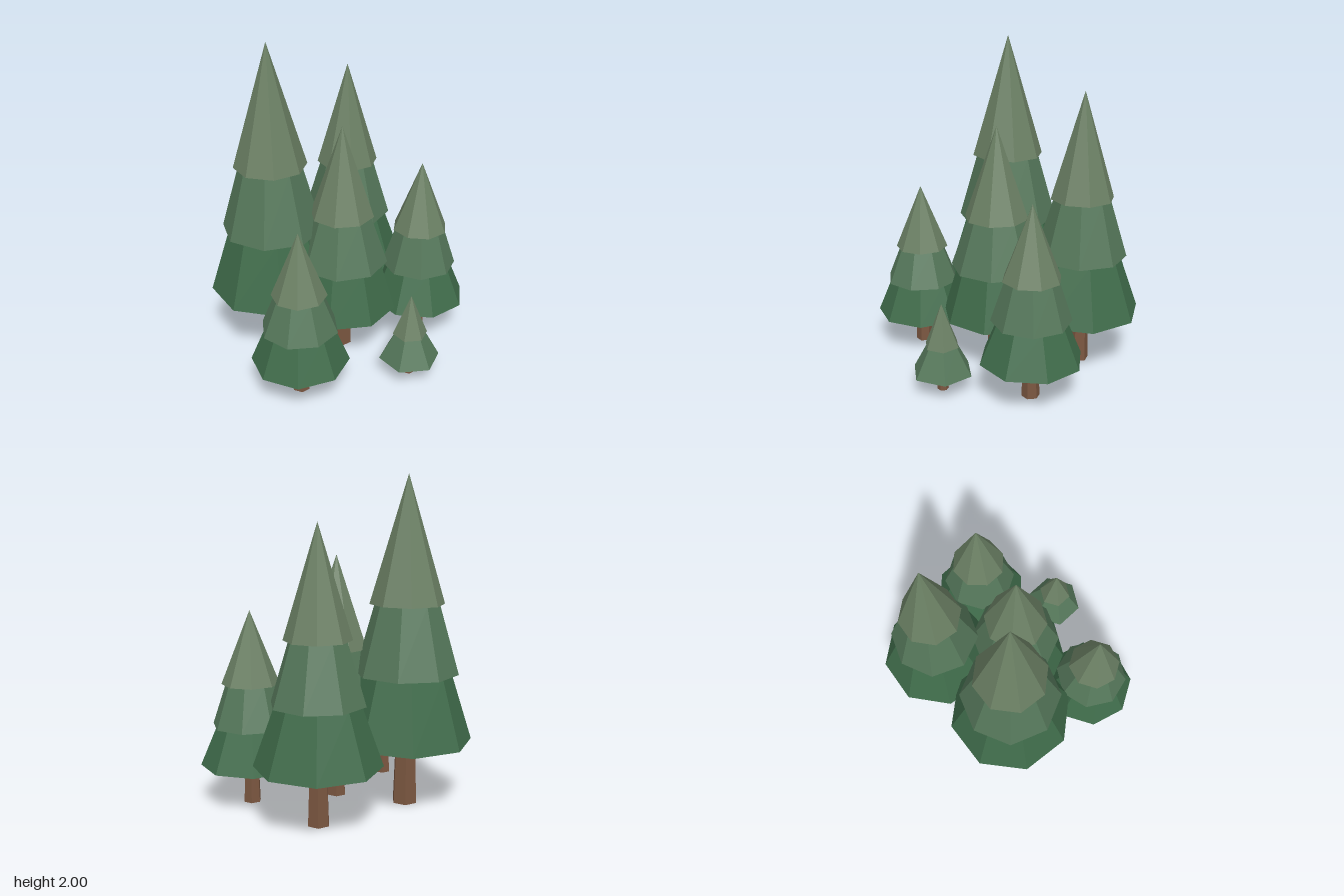
import * as THREE from 'three';

const material = (color) => new THREE.MeshStandardMaterial({ color, flatShading: true });

// Foliage colours from the lowest tier to the tip
const greens = [0x3f6b4a, 0x55775a, 0x6b8064].map(material);
const bark = material(0x7a5640);

// Each tier: [base height, base radius, angle of its first corner in degrees]
const trees = [
  { name: 'tallTree', x: -0.31, z: -0.305, height: 2, trunk: 0.08, sides: 8,
    tiers: [[0.4, 0.404, 28], [0.815, 0.317, 43], [1.235, 0.227, 28]] },
  { name: 'backTree', x: 0.334, z: -0.37, height: 1.735, trunk: 0.069, sides: 8,
    tiers: [[0.35, 0.375, 30], [0.715, 0.282, 45], [1.08, 0.197, 30]] },
  { name: 'middleTree', x: -0.01, z: 0.022, height: 1.52, trunk: 0.062, sides: 8,
    tiers: [[0.31, 0.343, 6], [0.627, 0.285, 0], [0.945, 0.2, 6]] },
  { name: 'leftTree', x: 0.506, z: 0.172, height: 1.195, trunk: 0.055, sides: 8,
    tiers: [[0.245, 0.31, 22.5], [0.49, 0.238, 37.5], [0.747, 0.176, 22.5]] },
  { name: 'rightTree', x: -0.504, z: 0.254, height: 1.07, trunk: 0.055, sides: 8,
    tiers: [[0.216, 0.296, -7], [0.443, 0.233, 8], [0.665, 0.165, -7]] },
  { name: 'sapling', x: 0.12, z: 0.535, height: 0.555, trunk: 0.034, sides: 6,
    tiers: [[0.117, 0.188, 30], [0.29, 0.107, 30]] },
];

// Tapered faceted solid standing on height y
function taper(name, rTop, rBottom, y, height, sides, angle, mat) {
  const geometry = new THREE.CylinderGeometry(rTop, rBottom, height, sides);
  const mesh = new THREE.Mesh(geometry, mat);
  mesh.name = name;
  mesh.position.y = y + height / 2;
  mesh.rotation.y = THREE.MathUtils.degToRad(90 - angle);
  return mesh;
}

function createTree({ name, x, z, height, trunk, sides, tiers }) {
  const tree = new THREE.Group();
  tree.name = name;
  tree.position.set(x, 0, z);

  // Trunk reaches a little into the lowest tier
  tree.add(taper('trunk', trunk * 0.8, trunk, 0, tiers[0][0] + 0.03, 6, 0, bark));

  // Each tier tucks under the one above, and the last one ends in a point
  tiers.forEach(([y, radius, angle], i) => {
    const next = tiers[i + 1];
    const top = next ? next[0] + 0.005 : height;
    const rTop = next ? next[1] * 0.86 : 0;
    const mat = greens[i + greens.length - tiers.length];
    tree.add(taper('foliageTier' + (i + 1), rTop, radius, y, top - y, sides, angle, mat));
  });
  return tree;
}

export function createModel() {
  const group = new THREE.Group();
  group.name = 'pineGrove';
  trees.forEach((spec) => group.add(createTree(spec)));
  return group;
}
